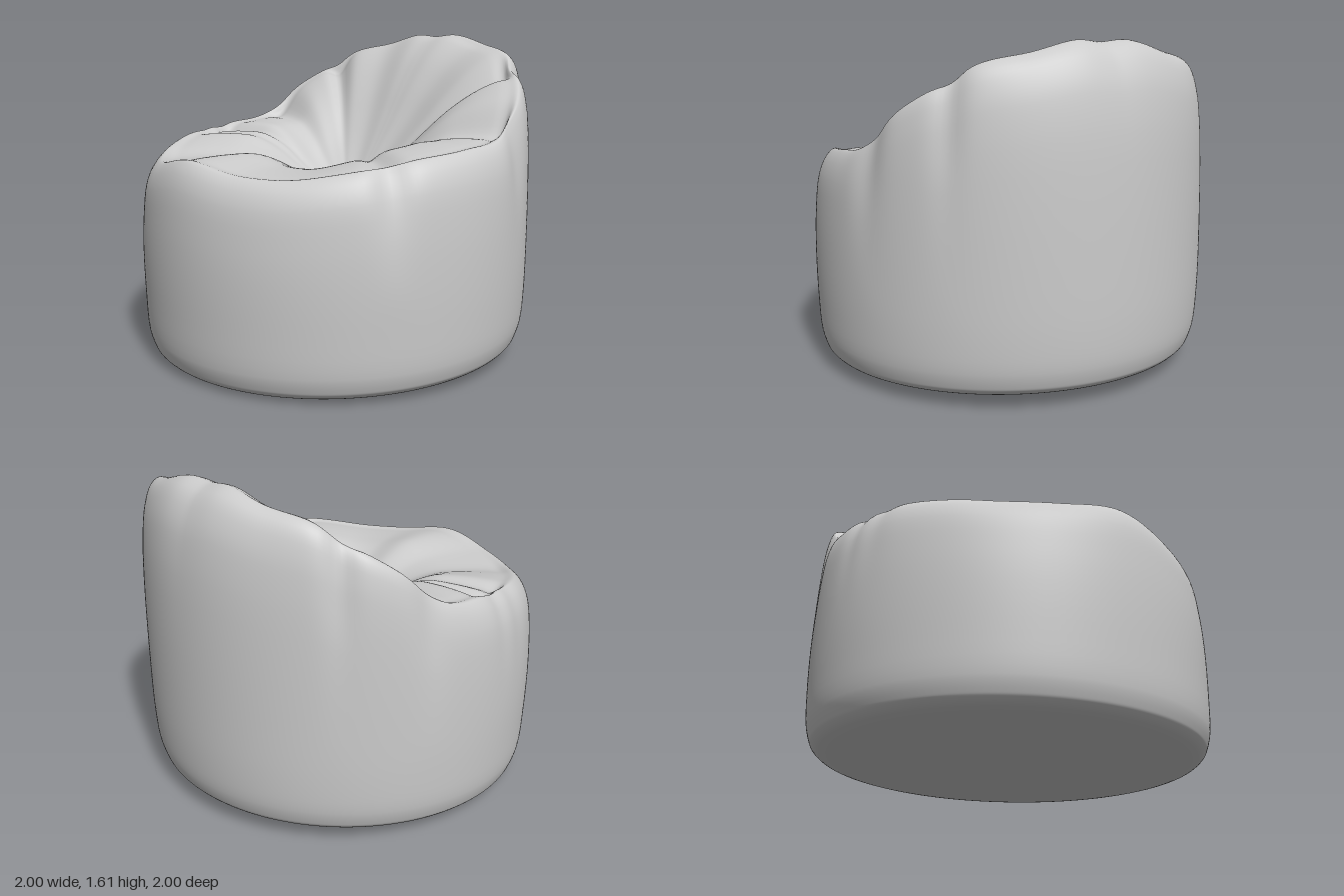
import * as THREE from 'three';

const AROUND = 240, ROWS = 84;
const SEAT_Z = -0.09, SEAT_Y = 0.8; // deepest point of the seat
const { lerp, smoothstep, radToDeg } = THREE.MathUtils;

// smooth curve through [angle from front in degrees, value] pairs
function byAngle(pairs) {
  const f = new THREE.CubicInterpolant(pairs.map(p => p[0]), pairs.map(p => p[1]), 1, [0]);
  f.settings = { endingStart: THREE.ZeroSlopeEnding, endingEnd: THREE.ZeroSlopeEnding };
  return deg => f.evaluate(deg)[0];
}

const rimHeight = byAngle([[0, 1.04], [20, 0.995], [35, 0.99], [50, 1.02], [70, 1.07], [90, 1.1],
  [103, 1.13], [110, 1.2], [118, 1.3], [126, 1.38], [133, 1.44], [139, 1.5], [155, 1.56], [170, 1.61], [180, 1.6]]);
const rimRadius = byAngle([[0, 0.9], [60, 0.89], [90, 0.9], [115, 0.94], [135, 0.91], [155, 0.85], [180, 0.79]]);

// fabric folds: angle, width, depth in the seat, depth in the wall
const FOLDS = [
  [63, 5, 0.035, 0.035], [-83, 3.5, 0.04, 0.01], [-74, 4.5, 0.025, 0.01],
  [110, 5, 0.05, 0.025], [-110, 5, 0.05, 0.025], [134, 4, 0.05, 0.025], [-134, 4, 0.05, 0.025],
  [-40, 9, 0.01, 0], [160, 9, 0.008, 0], [-158, 9, 0.008, 0],
];

// cross-section from the middle of the base, up the wall, over the rim and into the seat
function section(theta) {
  let deg = radToDeg(theta);
  if (deg > 180) deg -= 360;
  const a = Math.abs(deg);
  let seatFold = 0, wallFold = 0;
  for (const [at, width, seat, wall] of FOLDS) {
    const g = Math.exp(-(((deg - at) / width) ** 2));
    seatFold += g * seat;
    wallFold += g * wall;
  }
  const back = smoothstep(a, 85, 140);
  const mix = (f, b) => lerp(f, b, back);
  const H = rimHeight(a) - 0.3 * seatFold;
  const R = rimRadius(a);
  const sin = Math.sin(theta), cos = Math.cos(theta);
  const pts = [];
  const wall = (r, y, dent = 0) => pts.push(new THREE.Vector3(sin * (r - dent), y, cos * (r - dent)));
  const floor = r => 0.03 - 0.034 * r * cos; // base tilts up towards the back

  // base and lower edge seam
  wall(0, floor(0));
  for (const r of [0.45, 0.8]) wall(r, floor(r));
  wall(0.92, floor(0.92) + 0.016);
  wall(0.957, floor(0.95) + 0.045);
  wall(0.967, floor(0.96) + 0.065);
  wall(0.985, floor(0.98) + 0.13);
  // wall, then a shoulder rounding in to the rim: height and outward shares, dent share
  wall(0.996, 0.32);
  wall(1.0, 0.55);
  const shoulder = [[0.72, 0.93, 0.68, 0.96, 0.3], [0.87, 0.76, 0.82, 0.86, 0.8],
    [0.945, 0.5, 0.91, 0.69, 1], [0.985, 0.22, 0.975, 0.38, 1], [1, 0, 1, 0, 0.8]];
  for (const [fy, fr, by, br, dent] of shoulder) {
    wall(R + (1 - R) * mix(fr, br), H * mix(fy, by), wallFold * dent);
  }

  // seat: raised cushion in front dropping to the middle, full rounded backrest behind
  const inner = [[0.95, 0.975, 0.992], [0.88, 1.0, 0.96], [0.75, 1.02, 0.85], [0.6, 0.98, 0.67],
    [0.45, 0.74, 0.46], [0.3, 0.36, 0.26], [0.15, 0.09, 0.09], [0, 0, 0]];
  for (const [t, front, rear] of inner) {
    const y = SEAT_Y + (H - SEAT_Y) * mix(front, rear) - seatFold * smoothstep(t, 0.3, 0.9);
    pts.push(new THREE.Vector3(sin * R * t, y, cos * R * t + SEAT_Z * (1 - t)));
  }
  return new THREE.CatmullRomCurve3(pts, false, 'centripetal').getPoints(ROWS);
}

export function createModel() {
  const group = new THREE.Group();
  group.name = 'beanBagChair';

  // rings of cross-sections joined all the way round
  const position = [], index = [];
  for (let i = 0; i < AROUND; i++) {
    for (const p of section((i / AROUND) * Math.PI * 2)) position.push(p.x, p.y, p.z);
  }
  const n = ROWS + 1;
  for (let i = 0; i < AROUND; i++) {
    for (let j = 0; j < ROWS; j++) {
      const a = i * n + j, b = ((i + 1) % AROUND) * n + j;
      if (j > 0) index.push(a, b, a + 1);
      if (j < ROWS - 1) index.push(b, b + 1, a + 1);
    }
  }
  const geometry = new THREE.BufferGeometry();
  geometry.setAttribute('position', new THREE.Float32BufferAttribute(position, 3));
  geometry.setIndex(index);
  geometry.computeVertexNormals();

  const bag = new THREE.Mesh(geometry, new THREE.MeshStandardMaterial({ color: 0xcccccc }));
  bag.name = 'cushionBody';
  group.add(bag);
  return group;
}
